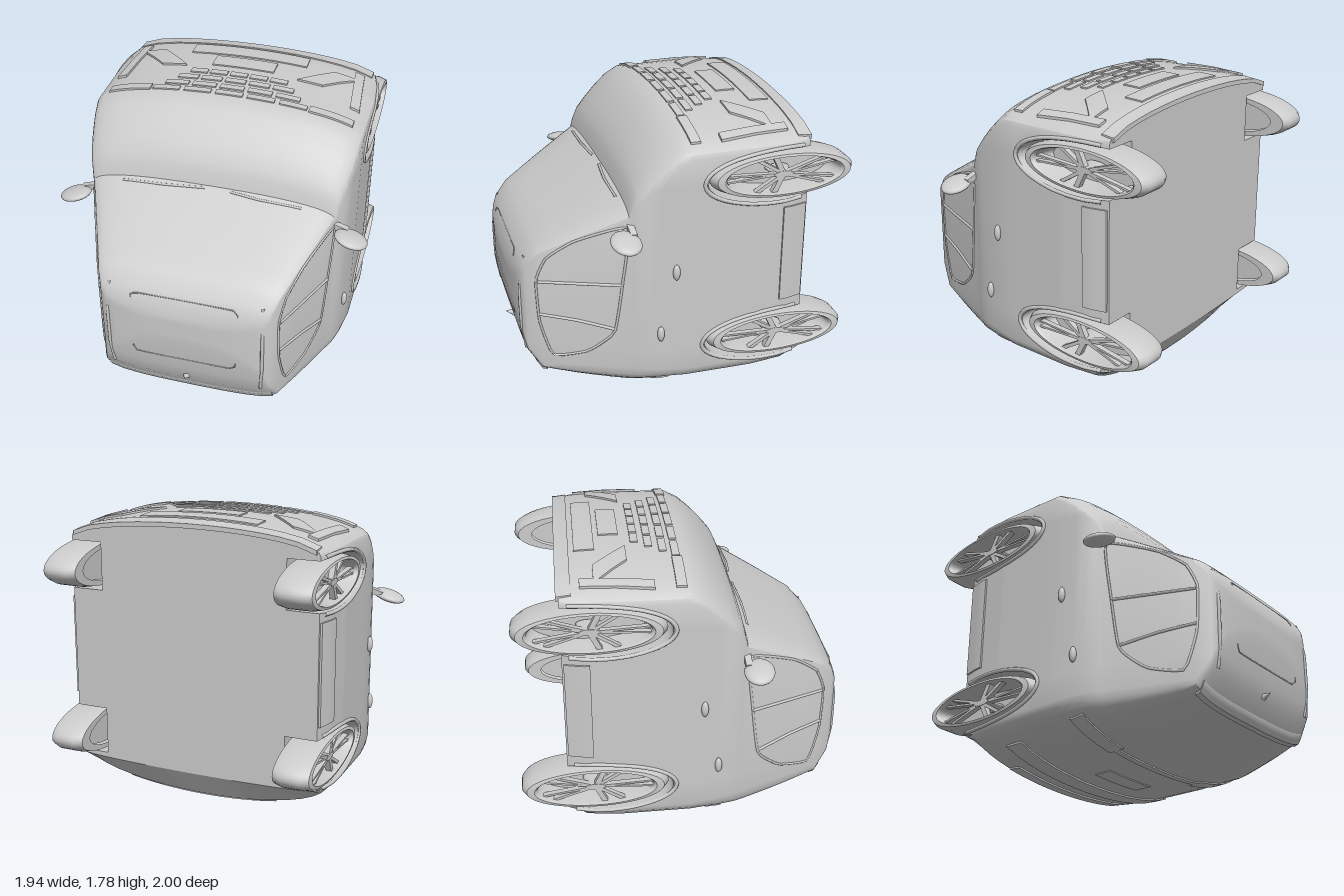
import * as THREE from 'three';
import { toCreasedNormals } from 'three/addons/utils/BufferGeometryUtils.js';

// Car standing on its tail: nose at +y, roof at +z, sills at -z.
const mat = new THREE.MeshStandardMaterial({ color: 0xcccccc, side: THREE.DoubleSide });

// Plan outlines by height: z, noseY, noseCorner, tailY, tailCorner, halfWidth
const PLAN = [
  [-0.72, 1.74, 0.12, 0.2, 0.03, 0.8],
  [-0.61, 1.765, 0.16, 0.03, 0.2, 0.83],
  [-0.4, 1.77, 0.16, 0.01, 0.22, 0.848],
  [0.02, 1.765, 0.16, 0.012, 0.22, 0.845],
  [0.1, 1.725, 0.17, 0.02, 0.22, 0.837],
  [0.18, 1.65, 0.17, 0.025, 0.22, 0.825],
  [0.25, 1.57, 0.16, 0.03, 0.22, 0.81],
  [0.31, 1.49, 0.14, 0.03, 0.22, 0.79],
  [0.34, 1.42, 0.12, 0.03, 0.22, 0.775],
  [0.36, 1.345, 0.11, 0.03, 0.22, 0.765],
  [0.86, 1.05, 0.06, 0.16, 0.1, 0.565],
  [0.94, 0.97, 0.07, 0.29, 0.08, 0.525],
  [0.965, 0.92, 0.08, 0.39, 0.08, 0.49],
  [0.98, 0.885, 0.08, 0.48, 0.08, 0.43],
  [0.995, 0.83, 0.06, 0.6, 0.06, 0.27],
  [1, 0.8, 0.03, 0.66, 0.03, 0.12]
];
const WHEEL_Y = [1.445, 0.39], WHEEL_Z = -0.555, ARCH_Y = 0.158, ARCH_Z = 0.47;
const clamp = THREE.MathUtils.clamp;

function planAt(z) {
  let i = 0;
  while (i < PLAN.length - 2 && z > PLAN[i + 1][0]) i++;
  const a = PLAN[i], b = PLAN[i + 1], t = clamp((z - a[0]) / (b[0] - a[0]), 0, 1);
  const [, yF, cF, yR, cR, w] = a.map((v, k) => v + (b[k] - v) * t);
  return { yF, cF, yR, cR, w, n: 2 + clamp((z - 0.05) / 0.6, 0, 1) };
}
const round = (t, n) => Math.pow(Math.max(0, 1 - Math.pow(Math.min(1, Math.abs(t)), n)), 1 / n);
// Points on the body skin, raised by d
const onNose = (x, z, d) => {
  const p = planAt(z);
  return new THREE.Vector3(x, p.yF - p.cF + p.cF * round(x / p.w, p.n) + d, z);
};
const onTail = (x, z, d) => {
  const p = planAt(z);
  return new THREE.Vector3(x, p.yR + p.cR - p.cR * round(x / p.w, p.n) - d, z);
};
const onSide = (s) => (y, z, d) => {
  const p = planAt(z), t = Math.max(0, (y - p.yF + p.cF) / p.cF, (p.yR + p.cR - y) / p.cR);
  return new THREE.Vector3(s * (p.w * round(t, p.n) + d), y, z);
};
function onRoof(x, y, d) {
  let lo = 0.36, hi = 1;
  for (let k = 0; k < 24; k++) {
    const z = (lo + hi) / 2;
    if (y < onNose(x, z, 0).y && y > onTail(x, z, 0).y && Math.abs(x) < planAt(z).w) lo = z; else hi = z;
  }
  return new THREE.Vector3(x, y, lo + d);
}

function add(parent, name, geo) {
  const m = new THREE.Mesh(geo, mat);
  m.name = name;
  parent.add(m);
  return m;
}
// Thin slab bent onto the skin
function panel(parent, name, place, u0, u1, v0, v1, t = 0.01, skew = 0) {
  const g = new THREE.BoxGeometry(1, 1, 1, 14, 4, 1), p = g.attributes.position;
  for (let i = 0; i < p.count; i++) {
    const u = u0 + (p.getX(i) + 0.5) * (u1 - u0) + skew * p.getY(i), v = v0 + (p.getY(i) + 0.5) * (v1 - v0);
    const q = place(u, v, p.getZ(i) > 0 ? t : -0.02);
    p.setXYZ(i, q.x, q.y, q.z);
  }
  add(parent, name, toCreasedNormals(g, 0.6));
}
// Raised moulding following skin points
function trim(parent, name, place, pts, r = 0.008, closed = false) {
  const curve = new THREE.CatmullRomCurve3(pts.map(([u, v]) => place(u, v, 0)), closed, 'catmullrom', 0.2);
  add(parent, name, new THREE.TubeGeometry(curve, 48, r, 6, closed));
}

// One closed outline, with the wheel wells cut into its sides
function outline(z) {
  const p = planAt(z), half = [], N = 10, lo = p.yR + p.cR, hi = p.yF - p.cF;
  const corner = (k, y0, c) => {
    const a = (k / N) * Math.PI / 2;
    half.push([p.w * Math.pow(Math.sin(a), 2 / p.n), y0 + c * Math.pow(Math.max(0, Math.cos(a)), 2 / p.n)]);
  };
  for (let k = 0; k <= N; k++) corner(k, hi, p.cF);
  const t = (z - WHEEL_Z) / ARCH_Z, h = ARCH_Y * Math.sqrt(Math.max(0, 1 - t * t));
  const inner = t <= 1 + 1e-6 ? 0.6 : p.w;
  for (const y of WHEEL_Y) {
    for (const [x, d] of [[p.w, h], [inner, h], [inner, -h], [p.w, -h]]) half.push([x, clamp(y + d, lo, hi)]);
  }
  for (let k = N; k >= 0; k--) corner(k, lo, -p.cR);
  return half.concat(half.slice(1, -1).reverse().map(([x, y]) => [-x, y]));
}

function bodyGeometry() {
  const levels = PLAN.map((r) => r[0]).concat(0.46, 0.56, 0.66, 0.76, WHEEL_Z + ARCH_Z + 0.001);
  for (let k = 0; k <= 16; k++) levels.push(WHEEL_Z + ARCH_Z * Math.sin((k / 16) * Math.PI / 2));
  levels.sort((a, b) => a - b);
  const rings = levels.map((z) => outline(z).map(([x, y]) => new THREE.Vector3(x, y, z)));
  const pos = [], tri = new THREE.Triangle();
  const face = (a, b, c) => {
    if (tri.set(a, b, c).getArea() > 1e-8) [a, b, c].forEach((v) => pos.push(v.x, v.y, v.z));
  };
  for (let j = 0; j < rings.length - 1; j++) {
    const A = rings[j], B = rings[j + 1];
    A.forEach((a, i) => {
      const k = (i + 1) % A.length;
      face(a, B[i], B[k]);
      face(a, B[k], A[k]);
    });
  }
  // Floor and roof caps
  [rings[0], rings[rings.length - 1]].forEach((ring, top) => {
    THREE.ShapeUtils.triangulateShape(ring.map((v) => new THREE.Vector2(v.x, v.y)), []).forEach(([a, b, c]) => {
      const up = tri.set(ring[a], ring[b], ring[c]).getNormal(new THREE.Vector3()).z > 0;
      if (up === !!top) face(ring[a], ring[b], ring[c]); else face(ring[a], ring[c], ring[b]);
    });
  });
  const g = new THREE.BufferGeometry();
  g.setAttribute('position', new THREE.Float32BufferAttribute(pos, 3));
  return toCreasedNormals(g, 0.5);
}

// Wheel with its axle on x, oval along the car's length
function wheel(s, y) {
  const g = new THREE.Group();
  g.name = 'wheel';
  const prof = [[0.33, -0.11], [0.42, -0.11], [0.445, -0.06], [0.445, 0.06], [0.415, 0.11], [0.37, 0.115], [0.355, 0.1], [0.32, -0.08]];
  const lathe = new THREE.LatheGeometry(prof.map(([r, x]) => new THREE.Vector2(r, x)), 48);
  add(g, 'tyreAndRim', toCreasedNormals(lathe, 0.6)).rotation.z = -Math.PI / 2;
  const disc = add(g, 'brakeDisc', new THREE.CylinderGeometry(0.33, 0.33, 0.04, 40));
  disc.rotation.z = Math.PI / 2;
  disc.position.x = -0.06;
  const hub = add(g, 'hub', new THREE.CylinderGeometry(0.06, 0.075, 0.12, 20));
  hub.rotation.z = -Math.PI / 2;
  hub.position.x = 0.03;
  for (let k = 0; k < 5; k++) for (const e of [-1, 1]) {
    const arm = new THREE.Group();
    arm.rotation.x = (k / 5) * Math.PI * 2 + e * 0.16;
    add(arm, 'spoke', new THREE.BoxGeometry(0.035, 0.035, 0.31)).position.set(0.07, 0, 0.195);
    g.add(arm);
  }
  g.scale.set(s, 0.315, 1);
  g.position.set(s * 0.735, y, WHEEL_Z);
  return g;
}

export function createModel() {
  const car = new THREE.Group();
  car.name = 'car';
  add(car, 'body', bodyGeometry());

  for (const s of [-1, 1]) {
    const side = onSide(s);
    for (const y of WHEEL_Y) {
      car.add(wheel(s, y));
      const arc = Array.from({ length: 17 }, (_, k) => {
        const a = -0.25 + (k / 16) * (Math.PI + 0.5);
        return [y + 0.168 * Math.cos(a), WHEEL_Z + 0.49 * Math.sin(a)];
      });
      trim(car, 'archFlare', side, arc, 0.013);
    }
    // Side glass frame, pillars and sill
    trim(car, 'windowFrame', side, [[1.2, 0.37], [1.1, 0.66], [0.98, 0.82], [0.83, 0.88], [0.55, 0.87], [0.32, 0.8], [0.36, 0.6], [0.5, 0.45], [0.85, 0.4]], 0.008, true);
    trim(car, 'centrePillar', side, [[0.82, 0.4], [0.82, 0.64], [0.82, 0.87]], 0.01);
    trim(car, 'rearPillar', side, [[0.52, 0.45], [0.57, 0.66], [0.6, 0.87]], 0.01);
    panel(car, 'sill', side, 0.62, 1.24, -0.71, -0.56, 0.012);
    for (const [y, z] of [[0.91, 0.1], [0.5, 0.19]]) {
      const handle = add(car, 'doorHandle', new THREE.SphereGeometry(1, 14, 10));
      handle.scale.set(0.02, 0.05, 0.022);
      handle.position.copy(side(y, z, 0.008));
    }
    // Mirrors
    const mirror = add(car, 'mirror', new THREE.SphereGeometry(1, 20, 14));
    mirror.scale.set(0.105, 0.032, 0.09);
    mirror.position.set(s * 0.872, 1.16, 0.41);
    mirror.rotation.set(0, s * 0.15, -s * 0.28);
    const stalk = add(car, 'mirrorStalk', new THREE.BoxGeometry(0.12, 0.035, 0.04));
    stalk.position.set(s * 0.785, 1.195, 0.355);
    stalk.rotation.z = -s * 0.3;
    // Nose corners
    panel(car, 'headlamp', onNose, s * 0.5, s * 0.77, -0.06, 0, 0.012);
    panel(car, 'cornerVent', onNose, s * 0.7, s * 0.76, -0.6, -0.18, 0.015, s * 0.04);
    panel(car, 'bumperBlade', onNose, s * 0.46, s * 0.62, -0.52, -0.32, 0.012, -s * 0.2);
    // Roof rails, wipers and tail lamps
    trim(car, 'roofRail', onRoof, [[s * 0.47, 0.96], [s * 0.48, 0.75], [s * 0.48, 0.5], [s * 0.47, 0.33]], 0.011);
    trim(car, 'wiper', onNose, [[s * 0.08 + 0.04, 0.375], [s * 0.3, 0.39], [s * 0.56, 0.385]]);
    panel(car, 'tailLamp', onTail, s * 0.4, s * 0.76, 0.12, 0.22, 0.008);
  }

  // Grille blocks and lower nose
  [-0.03, -0.1, -0.18, -0.26].forEach((z, r) => {
    const w = 1 - r * 0.12;
    for (let k = -2; k <= 2; k++) {
      panel(car, 'grilleBlock', onNose, (k / 5 - 0.085) * w, (k / 5 + 0.085) * w, z - 0.025, z + 0.02, 0.008);
    }
  });
  panel(car, 'platePanel', onNose, -0.2, 0.2, -0.47, -0.35, 0.008);
  panel(car, 'lowerIntake', onNose, -0.38, 0.38, -0.62, -0.5, 0.008);
  panel(car, 'frontLip', onNose, -0.78, 0.78, -0.735, -0.65, 0.008);
  // Tail
  panel(car, 'lightBar', onTail, -0.4, 0.4, 0.15, 0.19, 0.008);
  panel(car, 'rearPlate', onTail, -0.2, 0.2, -0.16, -0.04, 0.006);
  panel(car, 'rearBumper', onTail, -0.72, 0.72, -0.42, -0.3);
  panel(car, 'rearDiffuser', onTail, -0.5, 0.5, -0.6, -0.52);
  panel(car, 'spoiler', onTail, -0.53, 0.53, 0.83, 0.89, 0.012);
  // Roof
  trim(car, 'sunroofFrame', onRoof, [[-0.32, 0.52], [-0.33, 0.9], [-0.29, 0.93], [0.29, 0.93], [0.33, 0.9], [0.32, 0.52], [0.28, 0.48], [-0.28, 0.48]], 0.004, true);
  const fin = add(car, 'antennaFin', new THREE.ConeGeometry(0.025, 0.06, 12));
  fin.rotation.x = Math.PI / 2 - 0.3;
  fin.position.set(0, 0.32, 0.965);
  return car;
}
